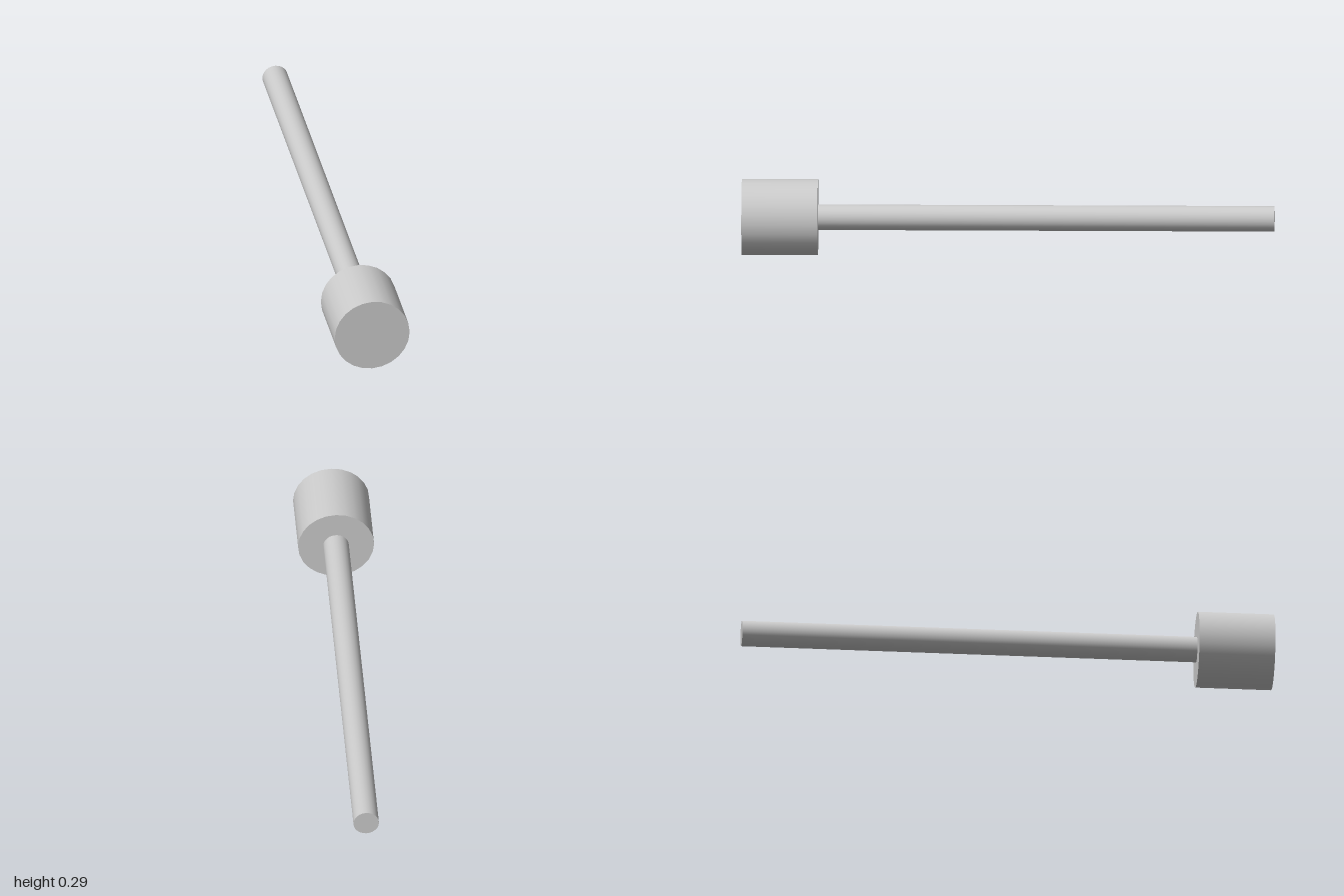
import * as THREE from 'three';

const SIDES = 24;
const HEAD_RADIUS = 0.143;
const HEAD_BACK = 0.714;

export function createModel() {
  const group = new THREE.Group();
  const material = new THREE.MeshStandardMaterial({ color: 0xcccccc });

  // Capped cylinder lying along z between two depths
  const addCylinder = (name, radius, zBack, zFront) => {
    const geometry = new THREE.CylinderGeometry(radius, radius, zFront - zBack, SIDES);
    geometry.rotateX(Math.PI / 2);
    const mesh = new THREE.Mesh(geometry, material);
    mesh.name = name;
    mesh.position.set(0, HEAD_RADIUS, (zFront + zBack) / 2);
    group.add(mesh);
  };

  // Wide head at the front, slim shaft running to the back
  addCylinder('head', HEAD_RADIUS, HEAD_BACK, 1);
  addCylinder('shaft', 0.048, -1, HEAD_BACK);

  return group;
}
